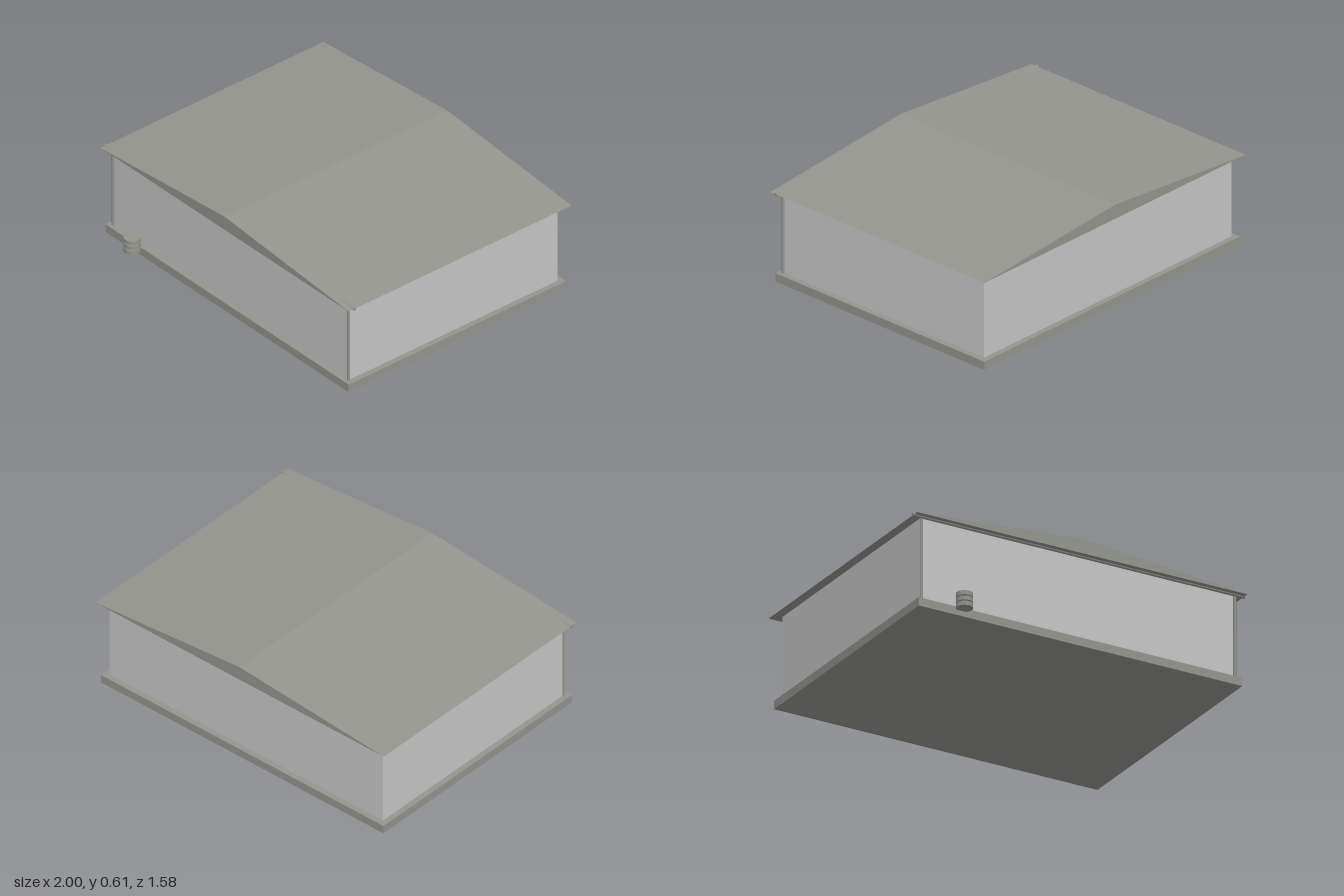
import * as THREE from 'three';

const wallPaint = new THREE.MeshStandardMaterial({ color: 0xc6c6c6 });
wallPaint.name = 'light grey wall';
const metal = new THREE.MeshStandardMaterial({ color: 0x93958e });
metal.name = 'grey metal';

export function createModel() {
  const model = new THREE.Group();
  model.name = 'lowHall';

  const add = (name, geometry, material, x, y, z) => {
    const mesh = new THREE.Mesh(geometry, material);
    mesh.name = name;
    mesh.position.set(x, y, z);
    model.add(mesh);
    return mesh;
  };
  // Box given by its half width and its y and z limits
  const block = (name, material, halfX, y0, y1, z0, z1) =>
    add(name, new THREE.BoxGeometry(halfX * 2, y1 - y0, z1 - z0), material,
      0, (y0 + y1) / 2, (z0 + z1) / 2);

  // Foundation slab and walls
  block('foundation', metal, 0.975, 0, 0.048, -0.77, 0.711);
  block('walls', wallPaint, 0.943, 0.048, 0.524, -0.737, 0.676);

  // Shallow gable roof, ridge running front to back
  const gable = new THREE.Shape([
    new THREE.Vector2(-0.995, 0.523),
    new THREE.Vector2(0.995, 0.523),
    new THREE.Vector2(0, 0.605),
  ]);
  const roof = new THREE.ExtrudeGeometry(gable, { depth: 1.518, bevelEnabled: false });
  add('roof', roof, metal, 0, 0, -0.79);

  // Gutter under the front edge, with a downpipe at each corner
  add('gutter', new THREE.CylinderGeometry(0.009, 0.009, 2, 16), metal, 0, 0.523, 0.69)
    .rotation.z = Math.PI / 2;
  for (const side of [-1, 1]) {
    add(side > 0 ? 'leftDownpipe' : 'rightDownpipe',
      new THREE.CylinderGeometry(0.008, 0.008, 0.475, 16), metal,
      side * 0.944, 0.2855, 0.685);
  }

  // Stack of three discs by the front wall
  for (let i = 0; i < 3; i++) {
    add('stackDisc' + (i + 1), new THREE.CylinderGeometry(0.045, 0.045, 0.024, 32), metal,
      -0.72, 0.042 + i * 0.03, 0.745);
  }
  return model;
}
